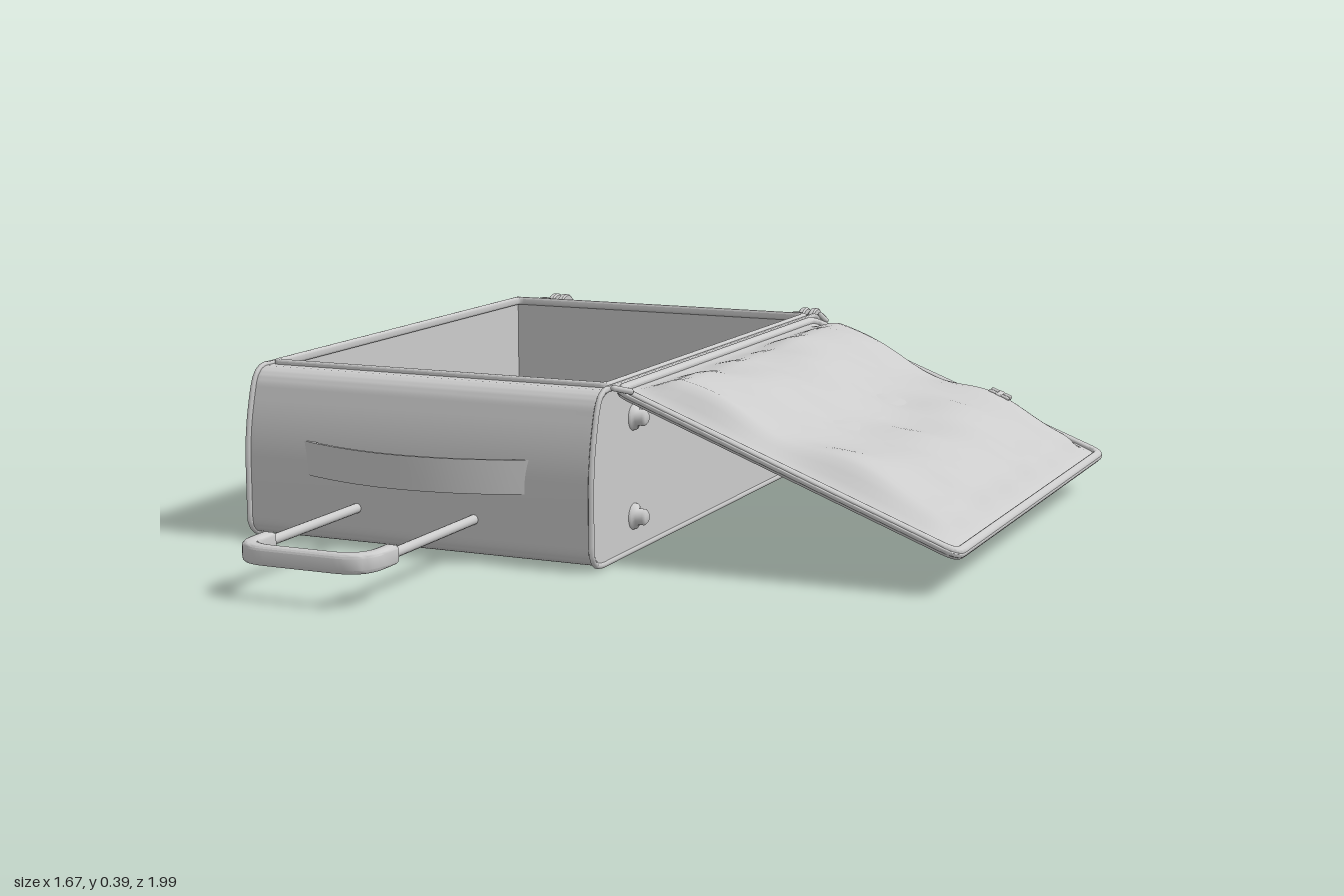
import * as THREE from 'three';
import { toCreasedNormals } from 'three/addons/utils/BufferGeometryUtils.js';
import { RoundedBoxGeometry } from 'three/addons/geometries/RoundedBoxGeometry.js';

const material = new THREE.MeshStandardMaterial({ color: 0xcccccc, side: THREE.DoubleSide });

function add(parent, name, geometry, x = 0, y = 0, z = 0) {
  const mesh = new THREE.Mesh(geometry, material);
  mesh.name = name;
  mesh.position.set(x, y, z);
  parent.add(mesh);
  return mesh;
}

function extrude(shape, depth, bevel = 0) {
  const geometry = new THREE.ExtrudeGeometry(shape, {
    depth: depth - 2 * bevel, curveSegments: 10, bevelEnabled: bevel > 0,
    bevelSize: bevel, bevelThickness: bevel, bevelOffset: -bevel, bevelSegments: 3,
  });
  geometry.translate(0, 0, bevel);
  return toCreasedNormals(geometry, 0.6);
}

// Side outline of the case, drawn as (-z, y); the notch opens the cavity
function caseOutline(notch) {
  const s = new THREE.Shape();
  s.moveTo(-0.41, 0.38);
  s.lineTo(-0.44, 0.38);
  s.quadraticCurveTo(-0.475, 0.375, -0.485, 0.33);
  s.quadraticCurveTo(-0.512, 0.25, -0.512, 0.17);
  s.lineTo(-0.512, 0.05);
  s.quadraticCurveTo(-0.512, 0.005, -0.46, 0.005);
  s.lineTo(0.83, 0.005);
  s.quadraticCurveTo(0.865, 0.005, 0.865, 0.04);
  s.lineTo(0.865, 0.34);
  s.quadraticCurveTo(0.865, 0.38, 0.83, 0.38);
  s.lineTo(0.79, 0.38);
  if (notch) {
    s.lineTo(0.79, 0.04);
    s.lineTo(-0.41, 0.04);
  }
  s.closePath();
  return s;
}

function roundedRect(target, x0, y0, x1, y1, r) {
  target.moveTo(x0 + r, y0);
  target.lineTo(x1 - r, y0);
  target.quadraticCurveTo(x1, y0, x1, y0 + r);
  target.lineTo(x1, y1 - r);
  target.quadraticCurveTo(x1, y1, x1 - r, y1);
  target.lineTo(x0 + r, y1);
  target.quadraticCurveTo(x0, y1, x0, y1 - r);
  target.lineTo(x0, y0 + r);
  target.quadraticCurveTo(x0, y0, x0 + r, y0);
  return target;
}

// Flat rounded frame lying in the xz plane, its top at y = 0
function frame(x0, z0, x1, z1, width, depth, r) {
  const s = roundedRect(new THREE.Shape(), x0, z0, x1, z1, r);
  s.holes.push(roundedRect(new THREE.Path(), x0 + width, z0 + width, x1 - width, z1 - width, r * 0.6));
  return extrude(s, depth, Math.min(0.006, width / 3)).rotateX(Math.PI / 2);
}

// Thin bowed carry strap, bulging along +z
function strapGeometry(length, bulge) {
  const h = length / 2, s = new THREE.Shape();
  s.moveTo(-h, 0);
  s.quadraticCurveTo(0, bulge * 2, h, 0);
  s.lineTo(h - 0.02, 0);
  s.quadraticCurveTo(0, bulge * 2 - 0.016, -h + 0.02, 0);
  s.closePath();
  return extrude(s, 0.075).rotateX(Math.PI / 2);
}

// Rectangular surface in xz whose height follows a rule of (u, v)
function sheet(width, length, nu, nv, height) {
  const g = new THREE.PlaneGeometry(width, length, nu, nv).rotateX(-Math.PI / 2);
  const p = g.attributes.position;
  for (let i = 0; i < p.count; i++) {
    p.setY(i, height(p.getX(i) / width + 0.5, p.getZ(i) / length + 0.5));
  }
  g.computeVertexNormals();
  return g;
}

function buildCase(root) {
  const body = new THREE.Group();
  body.name = 'caseBody';
  root.add(body);
  add(body, 'shell', extrude(caseOutline(true), 0.825).rotateY(Math.PI / 2), -0.78, 0, 0);
  for (const x of [-0.795, 0.04]) {
    add(body, 'sidePanel', extrude(caseOutline(false), 0.018).rotateY(Math.PI / 2), x, 0, 0);
  }
  // Piping around both side panels
  const outline = caseOutline(false).getSpacedPoints(110).slice(0, -1);
  for (const x of [-0.792, 0.055]) {
    const path = new THREE.CatmullRomCurve3(outline.map((p) => new THREE.Vector3(x, p.y, -p.x)), true);
    add(body, 'piping', new THREE.TubeGeometry(path, 180, 0.007, 6, true));
  }
  add(body, 'openingRim', frame(-0.785, -0.8, 0.05, 0.415, 0.014, 0.02, 0.02), 0, 0.391, 0);
  // Carry straps and lock
  add(body, 'frontStrap', strapGeometry(0.6, 0.074), -0.37, 0.23, 0.498);
  add(body, 'sideStrap', strapGeometry(0.42, 0.045).rotateY(-Math.PI / 2), -0.795, 0.23, -0.19);
  add(body, 'lock', new RoundedBoxGeometry(0.016, 0.05, 0.13, 3, 0.007), -0.797, 0.31, 0.28);
  // Side feet
  const footProfile = [[0.03, 0], [0.028, 0.008], [0.018, 0.012], [0.018, 0.028], [0.012, 0.034], [0, 0.034]];
  const foot = new THREE.LatheGeometry(footProfile.map(([r, y]) => new THREE.Vector2(r, y)), 20).rotateZ(-Math.PI / 2);
  for (const y of [0.08, 0.3]) for (const z of [0.3, -0.68]) add(body, 'sideFoot', foot, 0.056, y, z);
}

function buildWheels(root) {
  const flare = [[0.05, 0], [0.036, 0.008], [0.026, 0.025], [0.022, 0.055], [0, 0.06]];
  const mount = new THREE.LatheGeometry(flare.map(([r, y]) => new THREE.Vector2(r, y)), 20).rotateX(-Math.PI / 2);
  const tyreProfile = [[0, -0.009], [0.026, -0.009], [0.029, -0.006], [0.032, -0.009], [0.044, -0.009],
    [0.048, -0.005], [0.048, 0.005], [0.044, 0.009], [0.032, 0.009], [0.029, 0.006], [0.026, 0.009], [0, 0.009]];
  const tyre = toCreasedNormals(
    new THREE.LatheGeometry(tyreProfile.map(([r, y]) => new THREE.Vector2(r, y)), 28), 0.7).rotateZ(Math.PI / 2);
  for (const x of [-0.73, -0.003]) {
    for (const y of [0.049, 0.335]) {
      const wheel = new THREE.Group();
      wheel.name = 'wheel';
      wheel.position.set(x, y, 0);
      root.add(wheel);
      add(wheel, 'wheelMount', mount, 0, 0, -0.86);
      for (const side of [-1, 1]) add(wheel, 'tyre', tyre, side * 0.014, 0, -0.952);
      add(wheel, 'axle', new THREE.CylinderGeometry(0.014, 0.014, 0.05, 14).rotateZ(Math.PI / 2), 0, 0, -0.952);
    }
  }
}

function buildPullHandle(root) {
  const handle = new THREE.Group();
  handle.name = 'pullHandle';
  root.add(handle);
  for (const x of [-0.515, -0.225]) {
    add(handle, 'pole', new THREE.CylinderGeometry(0.011, 0.011, 0.42, 14).rotateX(Math.PI / 2), x, 0.09, 0.69);
  }
  // U-shaped grip
  const s = new THREE.Shape();
  s.moveTo(-0.16, 0);
  s.lineTo(-0.16, 0.05);
  s.quadraticCurveTo(-0.16, 0.13, -0.08, 0.13);
  s.lineTo(0.08, 0.13);
  s.quadraticCurveTo(0.16, 0.13, 0.16, 0.05);
  s.lineTo(0.16, 0);
  s.lineTo(0.13, 0);
  s.lineTo(0.13, 0.04);
  s.quadraticCurveTo(0.13, 0.1, 0.07, 0.1);
  s.lineTo(-0.07, 0.1);
  s.quadraticCurveTo(-0.13, 0.1, -0.13, 0.04);
  s.lineTo(-0.13, 0);
  s.closePath();
  add(handle, 'grip', extrude(s, 0.042, 0.009).rotateX(Math.PI / 2), -0.37, 0.111, 0.862);
}

function buildLid(root) {
  const lid = new THREE.Group();
  lid.name = 'lid';
  lid.position.set(0.062, 0.387, -0.195);
  lid.rotation.z = -0.365;
  root.add(lid);
  const width = 0.825, length = 1.2;
  add(lid, 'lidFrame', frame(0, -length / 2, width, length / 2, 0.02, 0.024, 0.04));
  add(lid, 'lidPiping', frame(-0.002, -length / 2 - 0.004, width + 0.002, length / 2 + 0.004, 0.01, 0.01, 0.04), 0, -0.007, 0);
  // Padded lining with soft folds
  const puff = (u, v) => {
    const du = Math.min(u, 1 - u) * width, dv = Math.min(v, 1 - v) * length;
    const edge = THREE.MathUtils.smoothstep(du, 0, 0.09) * THREE.MathUtils.smoothstep(dv, 0, 0.09);
    const folds = 0.012 * Math.cos((u - 0.22) * 13 + 0.5 * Math.sin(v * 8))
      + 0.004 * Math.sin(v * 23 + u * 5) * Math.sin(u * 16 + 1) + 0.003 * Math.sin(v * 41 + 4 * u);
    return -0.01 + edge * (0.042 + folds);
  };
  add(lid, 'lining', sheet(width - 0.03, length - 0.03, 48, 64, puff), width / 2, 0, 0);
  // Hollow outer cover with hipped slopes
  const hip = (u, v) => -0.017 + 0.09 * Math.min(u * width, (1 - u) * width, v * length, (1 - v) * length);
  add(lid, 'cover', sheet(width - 0.03, length - 0.03, 24, 36, hip), width / 2, 0, 0);
  // Small zip pull
  for (const z of [-0.012, 0.012]) {
    add(lid, 'zipPull', new RoundedBoxGeometry(0.055, 0.012, 0.012, 2, 0.004), 0.55, 0.045, -0.495 + z);
  }
  add(lid, 'zipSlider', new RoundedBoxGeometry(0.016, 0.018, 0.045, 2, 0.005), 0.55, 0.042, -0.495);
  // Hinge tabs at both corners
  for (const side of [-1, 1]) {
    const tab = add(lid, 'hingeTab', new THREE.CapsuleGeometry(0.007, 0.04, 4, 8).rotateZ(Math.PI / 2), 0.025, 0.002, side * 0.617);
    tab.rotation.y = side * 0.8;
  }
}

export function createModel() {
  const root = new THREE.Group();
  root.name = 'openSuitcase';
  buildCase(root);
  buildWheels(root);
  buildPullHandle(root);
  buildLid(root);
  return root;
}
